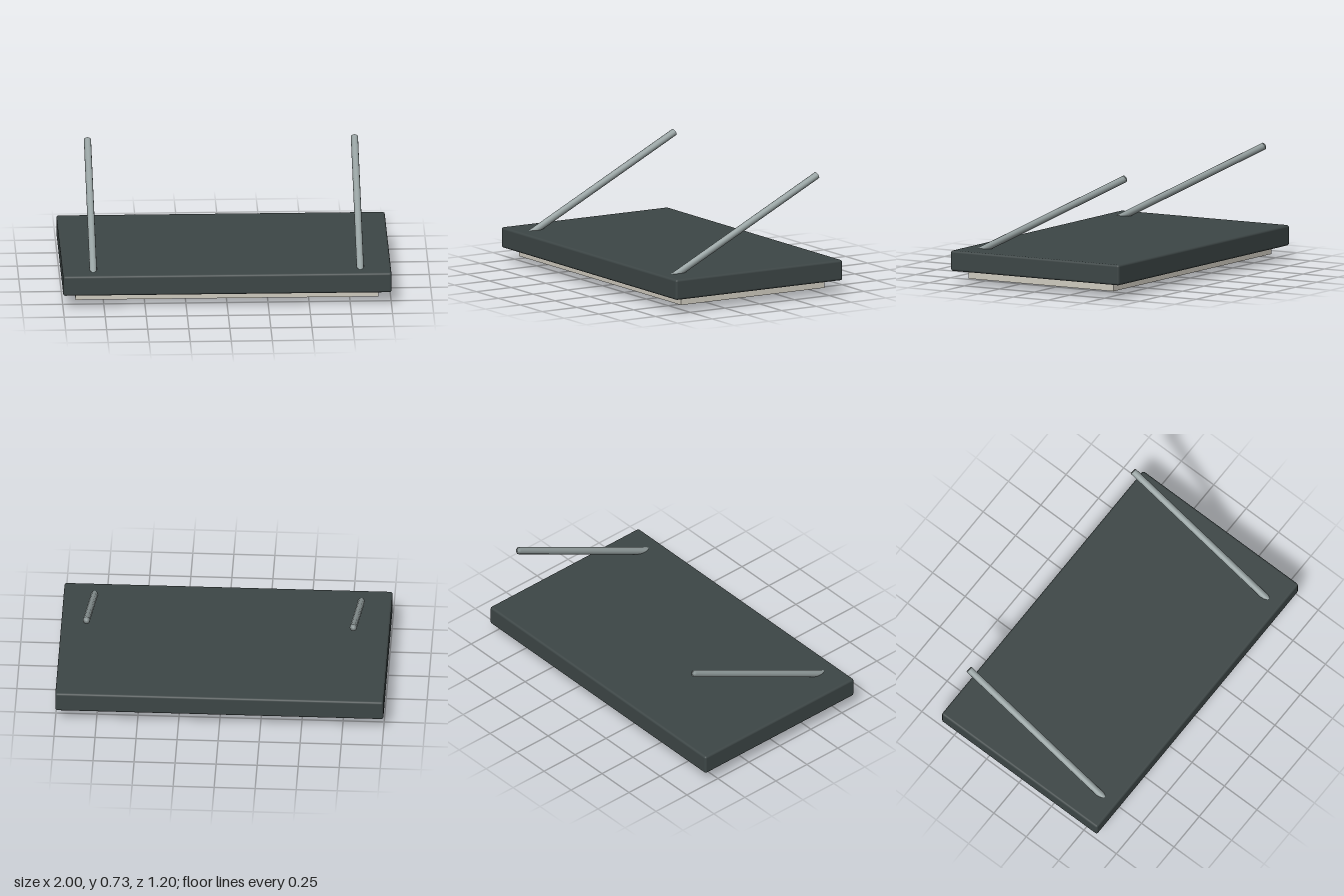
import * as THREE from 'three';
import { mergeVertices } from 'three/addons/utils/BufferGeometryUtils.js';
import { RoundedBoxGeometry } from 'three/addons/geometries/RoundedBoxGeometry.js';

const material = (color) => new THREE.MeshStandardMaterial({ color });

function addMesh(parent, name, geometry, mat, x, y, z) {
  const mesh = new THREE.Mesh(geometry, mat);
  mesh.name = name;
  mesh.position.set(x, y, z);
  parent.add(mesh);
  return mesh;
}

// Cylinder whose caps share normals with the sides, giving a soft shaded bar
function softRod(radius, length) {
  const geometry = new THREE.CylinderGeometry(radius, radius, length, 12);
  geometry.deleteAttribute('normal');
  geometry.deleteAttribute('uv');
  const merged = mergeVertices(geometry);
  merged.computeVertexNormals();
  return merged;
}

export function createModel() {
  const model = new THREE.Group();
  model.name = 'slabWithRods';

  const dark = material(0x3d4646);
  const cream = material(0xd0ccc0);
  const tan = material(0xcfc4a6);
  const metal = material(0x97a2a2);

  // Main slab with softened edges
  addMesh(model, 'slab', new RoundedBoxGeometry(2, 0.126, 1.2, 3, 0.014), dark, 0, 0.147, 0);

  // Inset panel under the slab
  addMesh(model, 'underPanel', new THREE.BoxGeometry(1.845, 0.05, 1.034), cream, 0, 0.059, 0.001);

  // Small rounded pad below the panel
  addMesh(model, 'pad', new RoundedBoxGeometry(0.32, 0.034, 0.242, 3, 0.012), tan, 0, 0.017, -0.024);

  // Pair of slanted rods rising towards the back, sunk into the slab at the front
  const low = new THREE.Vector3(0, 0.18, 0.527);
  const high = new THREE.Vector3(0, 0.713, -0.53);
  const along = high.clone().sub(low);
  const middle = low.clone().add(high).multiplyScalar(0.5);
  const rodGeometry = softRod(0.022, along.length());
  for (const [name, side] of [['leftRod', 1], ['rightRod', -1]]) {
    const rod = addMesh(model, name, rodGeometry, metal, side * 0.813, middle.y, middle.z);
    rod.quaternion.setFromUnitVectors(new THREE.Vector3(0, 1, 0), along.clone().normalize());
  }

  return model;
}
